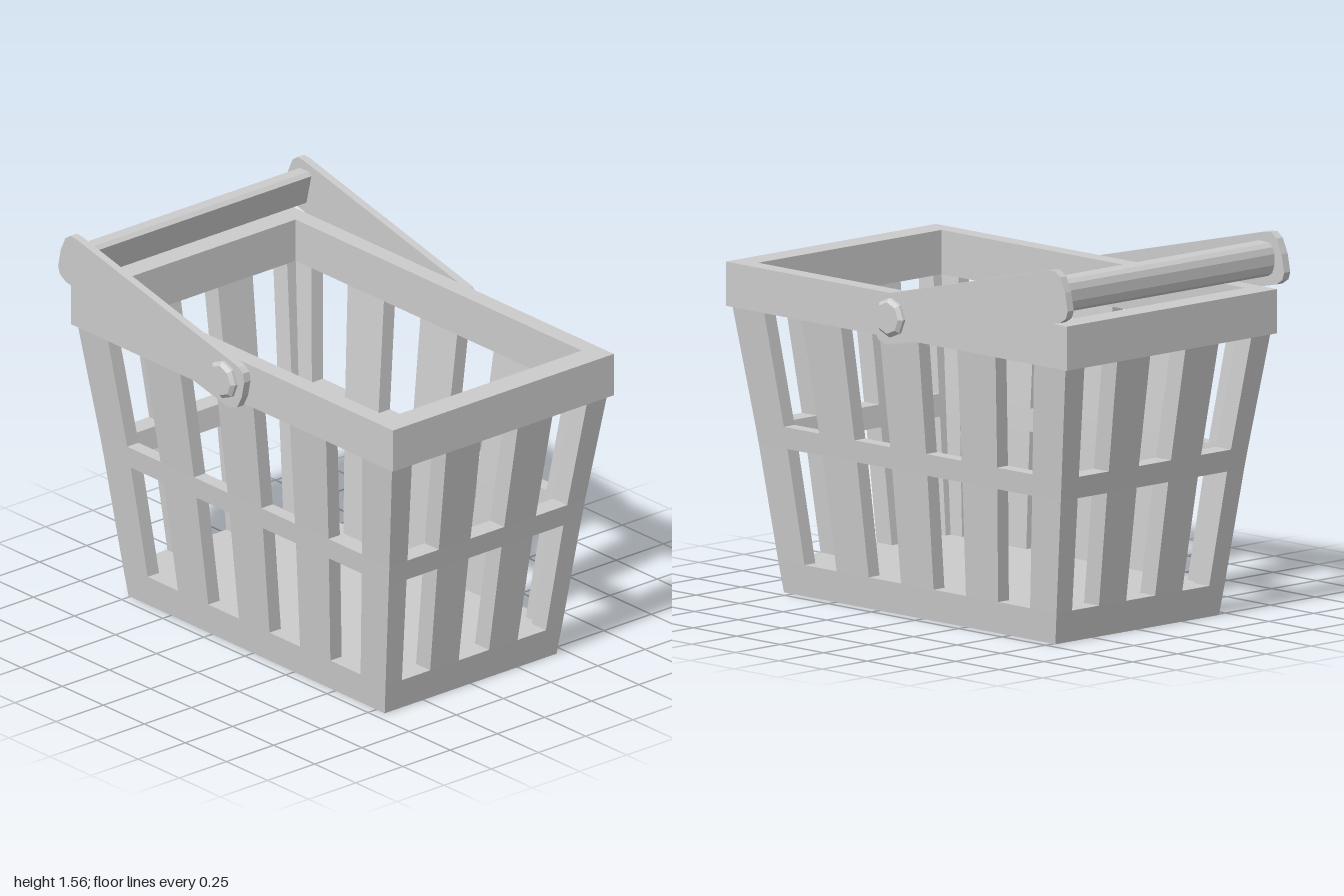
import * as THREE from 'three';

const CX = 0.02; // basket centre along x
const LEVELS = [0, 0.13, 0.6, 0.69, 1.155];
const RIM_TOP = 1.335;
const THICK_X = 0.086, THICK_Z = 0.06;

// Half extents of the basket's outside at each level
const HALF_X = [0.78, 0.8, 0.868, 0.882, 0.957];
const HALF_Z = [0.455, 0.468, 0.51, 0.519, 0.57];

const material = new THREE.MeshStandardMaterial({ color: 0xcccccc, flatShading: true });

function add(parent, name, geometry, x = 0, y = 0, z = 0) {
  const mesh = new THREE.Mesh(geometry, material);
  mesh.name = name;
  mesh.position.set(x, y, z);
  parent.add(mesh);
  return mesh;
}

// Sloping lattice wall facing +z; odd columns of odd rows are openings
function wallGeometry(widths, depths, thickW, thickD, cuts) {
  const verts = [];
  const us = [-1, ...cuts.map(c => -c), ...[...cuts].reverse(), 1];
  const point = (i, j, inner) => {
    const limit = widths[j] - (inner ? thickW : 0);
    const x = THREE.MathUtils.clamp(us[i] * widths[j], -limit, limit);
    return [x, LEVELS[j], depths[j] - (inner ? thickD : 0)];
  };
  const quad = (a, b, c, d) => verts.push(...a, ...b, ...c, ...a, ...c, ...d);

  for (let j = 0; j < LEVELS.length - 1; j++) {
    for (let i = 0; i < us.length - 1; i++) {
      const [a, b, c, d] = [[i, j], [i + 1, j], [i + 1, j + 1], [i, j + 1]].map(p => point(...p, false));
      const [e, f, g, h] = [[i, j], [i + 1, j], [i + 1, j + 1], [i, j + 1]].map(p => point(...p, true));
      if (i % 2 && j % 2) {
        quad(a, b, f, e); // sill
        quad(a, e, h, d); // jambs
        quad(f, b, c, g);
        if (j < LEVELS.length - 2) quad(h, g, c, d); // head
      } else {
        quad(a, b, c, d);
        if (j > 0) quad(f, e, h, g);
      }
    }
  }
  const geometry = new THREE.BufferGeometry();
  geometry.setAttribute('position', new THREE.Float32BufferAttribute(verts, 3));
  geometry.computeVertexNormals();
  return geometry;
}

const rectangle = (Type, hx, hz) =>
  new Type([[-hx, -hz], [hx, -hz], [hx, hz], [-hx, hz]].map(p => new THREE.Vector2(...p)));

const outline = points => new THREE.Shape(points.map(p => new THREE.Vector2(...p)));

const extrude = (shape, depth) => new THREE.ExtrudeGeometry(shape, { depth, bevelEnabled: false });

export function createModel() {
  const model = new THREE.Group();
  model.name = 'basket';

  // Lattice walls
  const longWall = wallGeometry(HALF_X, HALF_Z, THICK_X, THICK_Z, [0.81, 0.58, 0.349, 0.117]);
  const shortWall = wallGeometry(HALF_Z, HALF_X, THICK_Z, THICK_X, [0.815, 0.495, 0.172]);
  add(model, 'frontWall', longWall, CX);
  add(model, 'backWall', longWall, CX).rotation.y = Math.PI;
  add(model, 'leftWall', shortWall, CX).rotation.y = Math.PI / 2;
  add(model, 'rightWall', shortWall, CX).rotation.y = -Math.PI / 2;

  // Floor, inside and underneath
  const floor = new THREE.PlaneGeometry(2 * (HALF_X[1] - THICK_X), 2 * (HALF_Z[1] - THICK_Z));
  add(model, 'floor', floor.rotateX(-Math.PI / 2), CX, LEVELS[1]);
  const underside = new THREE.PlaneGeometry(2 * HALF_X[0], 2 * HALF_Z[0]);
  add(model, 'underside', underside.rotateX(Math.PI / 2), CX);

  // Rim
  const rim = rectangle(THREE.Shape, 0.98, 0.585);
  rim.holes.push(rectangle(THREE.Path, HALF_X[4] - THICK_X, HALF_Z[4] - THICK_Z));
  add(model, 'rim', extrude(rim, RIM_TOP - LEVELS[4]).rotateX(-Math.PI / 2), CX, LEVELS[4]);

  // Swinging handle: two side arms with pivot bolts
  const handle = new THREE.Group();
  handle.name = 'handle';
  model.add(handle);

  const arm = extrude(outline([
    [-0.89, 1.559], [-0.925, 1.562], [-0.957, 1.54], [-0.985, 1.48], [-1, 1.406],
    [-0.99, 1.375], [-0.955, 1.353], [0.008, 1.136], [0.045, 1.132], [0.09, 1.147],
    [0.118, 1.2], [0.132, 1.267], [0.125, 1.305], [0.1, 1.325], [0.05, 1.337],
  ]), 0.034);
  const bolt = new THREE.LatheGeometry(
    [[0.08, 0], [0.08, 0.012], [0.064, 0.026], [0, 0.026]].map(p => new THREE.Vector2(...p)), 8);
  for (const side of [1, -1]) {
    const end = side > 0 ? 'front' : 'back';
    add(handle, end + 'Arm', arm, 0, 0, side > 0 ? 0.585 : -0.619);
    add(handle, end + 'Bolt', bolt, 0.013, 1.246, side * 0.619).rotation.x = side * Math.PI / 2;
  }

  // Grip, flat on its inner side and rounded outside
  const grip = outline([
    [-0.842, 1.505], [-0.858, 1.52], [-0.915, 1.517], [-0.934, 1.502], [-0.944, 1.475],
    [-0.944, 1.43], [-0.932, 1.397], [-0.91, 1.382], [-0.872, 1.38],
  ]);
  add(handle, 'grip', extrude(grip, 1.17), 0, 0, -0.585);

  return model;
}
